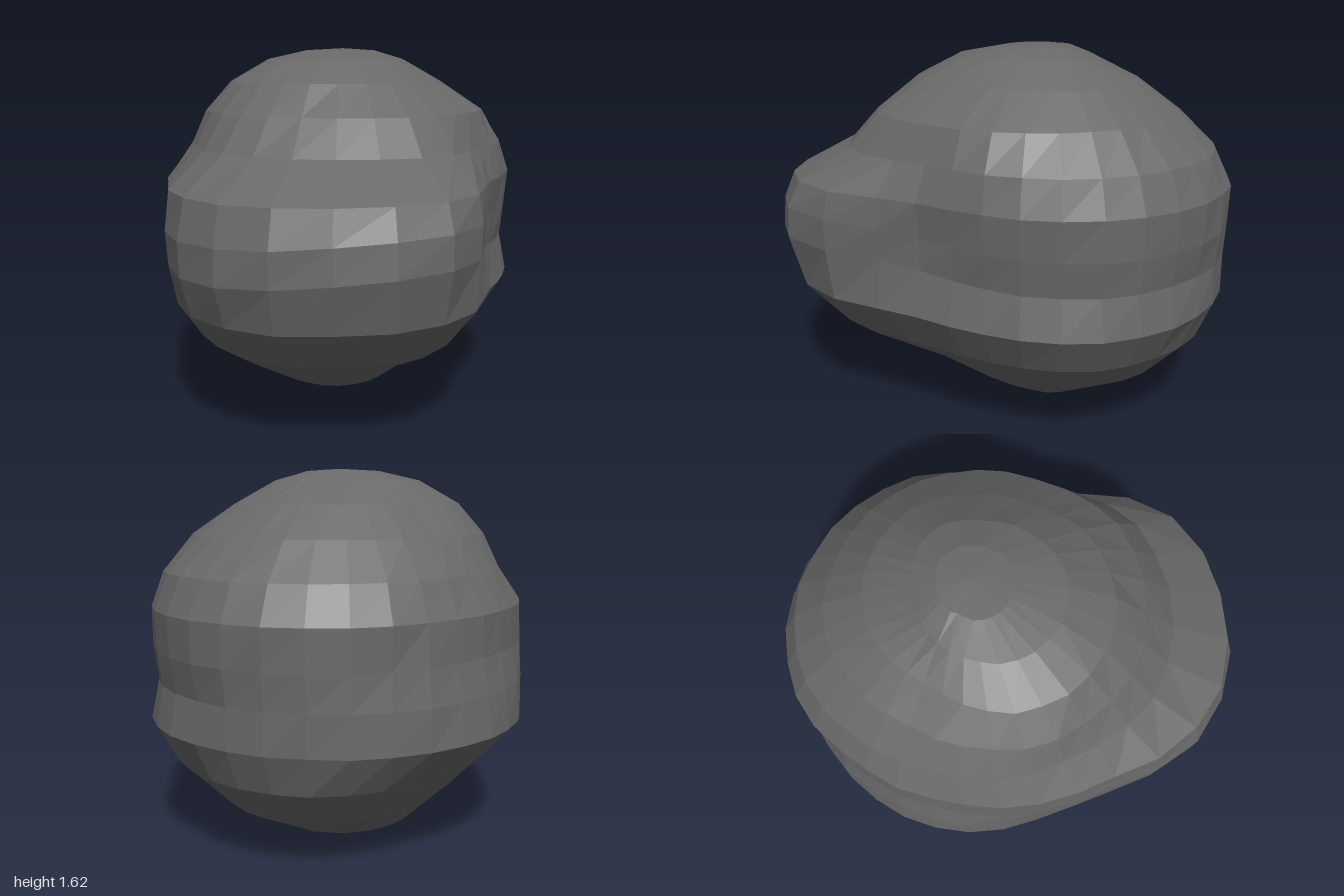
import * as THREE from 'three';

const SEGMENTS = 32;
const AXIS = { x: 0.15, z: -0.08 };

// Ring height, then radii at 30, 90, 150, 210, 270 and 330 degrees from +x towards +z
const RINGS = [
  [0.00, 0.15, 0.15, 0.17, 0.17, 0.16, 0.15],
  [0.06, 0.32, 0.28, 0.37, 0.34, 0.33, 0.33],
  [0.20, 0.54, 0.44, 0.61, 0.57, 0.46, 0.60],
  [0.38, 0.75, 0.69, 0.98, 0.75, 0.65, 0.76],
  [0.55, 0.85, 0.80, 1.14, 0.84, 0.82, 0.83],
  [0.72, 0.81, 0.77, 1.20, 0.86, 0.80, 0.83],
  [0.87, 0.83, 0.78, 1.19, 0.87, 0.77, 0.84],
  [1.04, 0.84, 0.79, 1.15, 0.86, 0.76, 0.84],
  [1.19, 0.78, 0.74, 0.88, 0.74, 0.68, 0.77],
  [1.34, 0.64, 0.68, 0.74, 0.67, 0.56, 0.61],
  [1.47, 0.46, 0.48, 0.59, 0.56, 0.41, 0.43],
  [1.57, 0.27, 0.30, 0.39, 0.38, 0.26, 0.21],
  [1.61, 0.14, 0.16, 0.18, 0.18, 0.14, 0.12],
];

// Smooth closed interpolation through the radii of one ring
function radiusAt(radii, degrees) {
  const n = radii.length;
  const f = (degrees - 30) / 60 + n;
  const k = Math.floor(f);
  const u = f - k;
  const [a, b, c, d] = [-1, 0, 1, 2].map((o) => radii[(k + o + n) % n]);
  return b + 0.5 * u * (c - a + u * (2 * a - 5 * b + 4 * c - d + u * (3 * (b - c) + d - a)));
}

const bell = (value, centre, width) => Math.exp(-(((value - centre) / width) ** 2));

// Shoulders that widen the front right bulge around mid height
function shoulder(degrees, y) {
  if (degrees < 90 || degrees > 210) return 0;
  const wave = Math.sin(THREE.MathUtils.degToRad(3 * (degrees - 90))) ** 2;
  return (degrees < 150 ? 0.13 : 0.05) * wave * bell(y, 0.8, 0.4);
}

// The ridge of the bulge climbs towards the front
const lift = (degrees, y) => 0.09 * bell(degrees, 122, 35) * bell(y, 0.77, 0.2);

// Small repeatable roughness
function rough(i, j) {
  const s = Math.sin(i * 12.99 + j * 78.23) * 43758.55;
  return (s - Math.floor(s) - 0.5) * 0.012;
}

function rockGeometry() {
  const positions = [];
  const index = [];
  RINGS.forEach(([y, ...radii], j) => {
    for (let i = 0; i < SEGMENTS; i++) {
      const degrees = (i / SEGMENTS) * 360;
      const angle = THREE.MathUtils.degToRad(degrees);
      const r = radiusAt(radii, degrees) + shoulder(degrees, y) + rough(i, j);
      positions.push(AXIS.x + r * Math.cos(angle), y + lift(degrees, y), AXIS.z + r * Math.sin(angle));
    }
  });
  const bottom = RINGS.length * SEGMENTS;
  const top = bottom + 1;
  positions.push(AXIS.x, 0, AXIS.z, AXIS.x, 1.62, AXIS.z);

  const last = (RINGS.length - 1) * SEGMENTS;
  for (let i = 0; i < SEGMENTS; i++) {
    const next = (i + 1) % SEGMENTS;
    for (let j = 0; j < RINGS.length - 1; j++) {
      const a = j * SEGMENTS + i;
      const b = j * SEGMENTS + next;
      index.push(a, a + SEGMENTS, b, b, a + SEGMENTS, b + SEGMENTS);
    }
    index.push(bottom, i, next, top, last + next, last + i);
  }

  const indexed = new THREE.BufferGeometry();
  indexed.setAttribute('position', new THREE.Float32BufferAttribute(positions, 3));
  indexed.setIndex(index);
  // Separate faces give the stone its facets
  const geometry = indexed.toNonIndexed();
  geometry.computeVertexNormals();
  return geometry;
}

export function createModel() {
  const group = new THREE.Group();
  group.name = 'boulder';
  const stone = new THREE.MeshStandardMaterial({ color: 0x696969, flatShading: true });
  stone.name = 'grey stone';
  const rock = new THREE.Mesh(rockGeometry(), stone);
  rock.name = 'rock';
  group.add(rock);
  return group;
}
